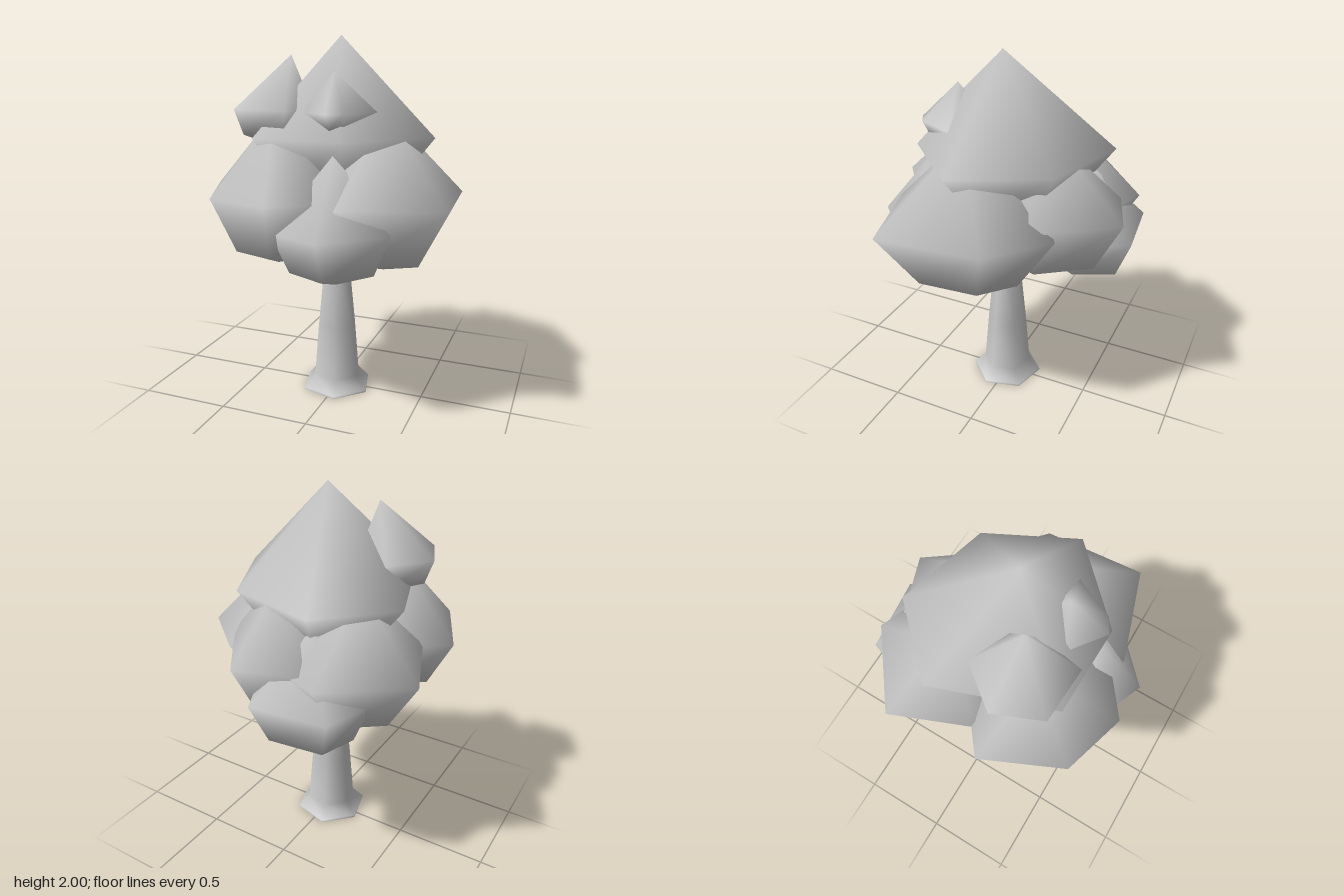
import * as THREE from 'three';

const grey = new THREE.MeshStandardMaterial({ color: 0xc8c8c8 });
grey.name = 'plain grey';

// Leaf clump: apex, widest six-sided ring, smaller lower ring, bottom point.
// ring: [x, z] corners; apex: [x, z]; heights: [top, ring, lower ring, bottom]
function clump(name, ring, apex, heights, lowerScale) {
  const [top, mid, low, bottom] = heights;
  const n = ring.length;
  const cx = ring.reduce((s, p) => s + p[0], 0) / n;
  const cz = ring.reduce((s, p) => s + p[1], 0) / n;
  const pos = [apex[0], top, apex[1]];
  for (const [x, z] of ring) pos.push(x, mid, z);
  for (const [x, z] of ring) pos.push(cx + (x - cx) * lowerScale, low, cz + (z - cz) * lowerScale);
  pos.push(cx, bottom, cz);
  const index = [];
  for (let i = 0; i < n; i++) {
    const j = (i + 1) % n;
    const a = 1 + i, b = 1 + j, c = a + n, d = b + n;
    index.push(0, b, a, a, b, d, a, d, c, c, d, 1 + 2 * n);
  }
  const geo = new THREE.BufferGeometry();
  geo.setAttribute('position', new THREE.Float32BufferAttribute(pos, 3));
  geo.setIndex(index);
  geo.computeVertexNormals();
  const mesh = new THREE.Mesh(geo, grey);
  mesh.name = name;
  return mesh;
}

// Tapered branch between two points
function branch(from, to, r0, r1) {
  const a = new THREE.Vector3(...from), b = new THREE.Vector3(...to);
  const dir = b.clone().sub(a);
  const mesh = new THREE.Mesh(new THREE.CylinderGeometry(r1, r0, dir.length(), 6), grey);
  mesh.position.copy(a).add(b).multiplyScalar(0.5);
  mesh.quaternion.setFromUnitVectors(new THREE.Vector3(0, 1, 0), dir.normalize());
  mesh.name = 'branch';
  return mesh;
}

export function createModel() {
  const tree = new THREE.Group();
  tree.name = 'tree';

  // Trunk with flared foot
  const profile = [[0.205, 0], [0.203, 0.012], [0.14, 0.08], [0.115, 0.38], [0.078, 0.74], [0.06, 0.76]];
  const trunk = new THREE.Mesh(
    new THREE.LatheGeometry(profile.map(([r, y]) => new THREE.Vector2(r, y)), 6), grey);
  trunk.rotation.y = Math.PI / 12;
  trunk.position.set(-0.01, 0, 0.01);
  trunk.name = 'trunk';
  tree.add(trunk);

  const foot = new THREE.Mesh(new THREE.CircleGeometry(0.205, 6), grey);
  foot.rotation.set(Math.PI / 2, 0, Math.PI / 12);
  foot.position.set(-0.01, 0.001, 0.01);
  foot.name = 'trunkUnderside';
  tree.add(foot);

  // Branches spreading into the crown
  tree.add(branch([-0.01, 0.68, 0.01], [0, 1.0, 0], 0.06, 0.05));
  for (let i = 0; i < 4; i++) {
    const a = Math.PI / 4 + i * Math.PI / 2;
    const c = Math.cos(a), s = Math.sin(a);
    tree.add(branch([c * 0.035, 0.71, s * 0.035], [c * 0.19, 0.98, s * 0.19], 0.035, 0.035));
  }

  // Crown
  const crown = new THREE.Group();
  crown.name = 'crown';
  tree.add(crown);
  crown.add(
    clump('topClump',
      [[-0.2, -0.53], [0.31, -0.39], [0.55, 0.08], [0.18, 0.45], [-0.3, 0.44], [-0.53, -0.19]],
      [0.02, 0.02], [2.0, 1.49, 1.25, 1.15], 0.65),
    clump('leftClump',
      [[0.36, -0.42], [0.655, -0.16], [0.70, 0.40], [0.19, 0.565], [-0.13, 0.3], [-0.05, -0.2]],
      [0.3, 0.1], [1.62, 1.18, 0.86, 0.765], 0.58),
    clump('frontRightClump',
      [[-0.35, -0.08], [0.08, 0.08], [0.17, 0.48], [-0.115, 0.695], [-0.465, 0.59], [-0.66, 0.165]],
      [-0.24, 0.28], [1.62, 1.2, 0.91, 0.82], 0.64),
    clump('lowFrontClump',
      [[0.1, 0.1], [0.37, 0.2], [0.43, 0.44], [0.15, 0.705], [-0.14, 0.58], [-0.15, 0.25]],
      [0.12, 0.4], [1.42, 1.05, 0.84, 0.755], 0.72),
    clump('backRightClump',
      [[-0.31, -0.65], [0.08, -0.5], [0.1, -0.05], [-0.2, 0.2], [-0.52, 0.09], [-0.70, -0.35]],
      [-0.3, -0.2], [1.57, 1.2, 0.91, 0.81], 0.6),
    clump('backLeftClump',
      [[0.13, -0.69], [0.42, -0.29], [0.3, 0.05], [-0.05, 0.08], [-0.28, -0.2], [-0.19, -0.58]],
      [0.08, -0.28], [1.62, 1.22, 0.93, 0.83], 0.65),
    clump('lowBackClump',
      [[-0.39, -0.665], [0.02, -0.71], [0.16, -0.42], [0.02, -0.15], [-0.3, -0.12], [-0.48, -0.4]],
      [-0.16, -0.4], [1.4, 1.06, 0.84, 0.755], 0.72),
    clump('smallUpperRightClump',
      [[-0.35, -0.04], [-0.16, 0.0], [-0.08, 0.2], [-0.12, 0.43], [-0.41, 0.415], [-0.515, 0.17]],
      [-0.2, 0.17], [1.9, 1.63, 1.5, 1.42], 0.8),
    clump('smallUpperFrontClump',
      [[0.03, 0.08], [0.2, 0.08], [0.28, 0.2], [0.18, 0.41], [0.1, 0.455], [-0.08, 0.32]],
      [0.07, 0.25], [1.82, 1.62, 1.54, 1.5], 0.75),
  );
  return tree;
}
